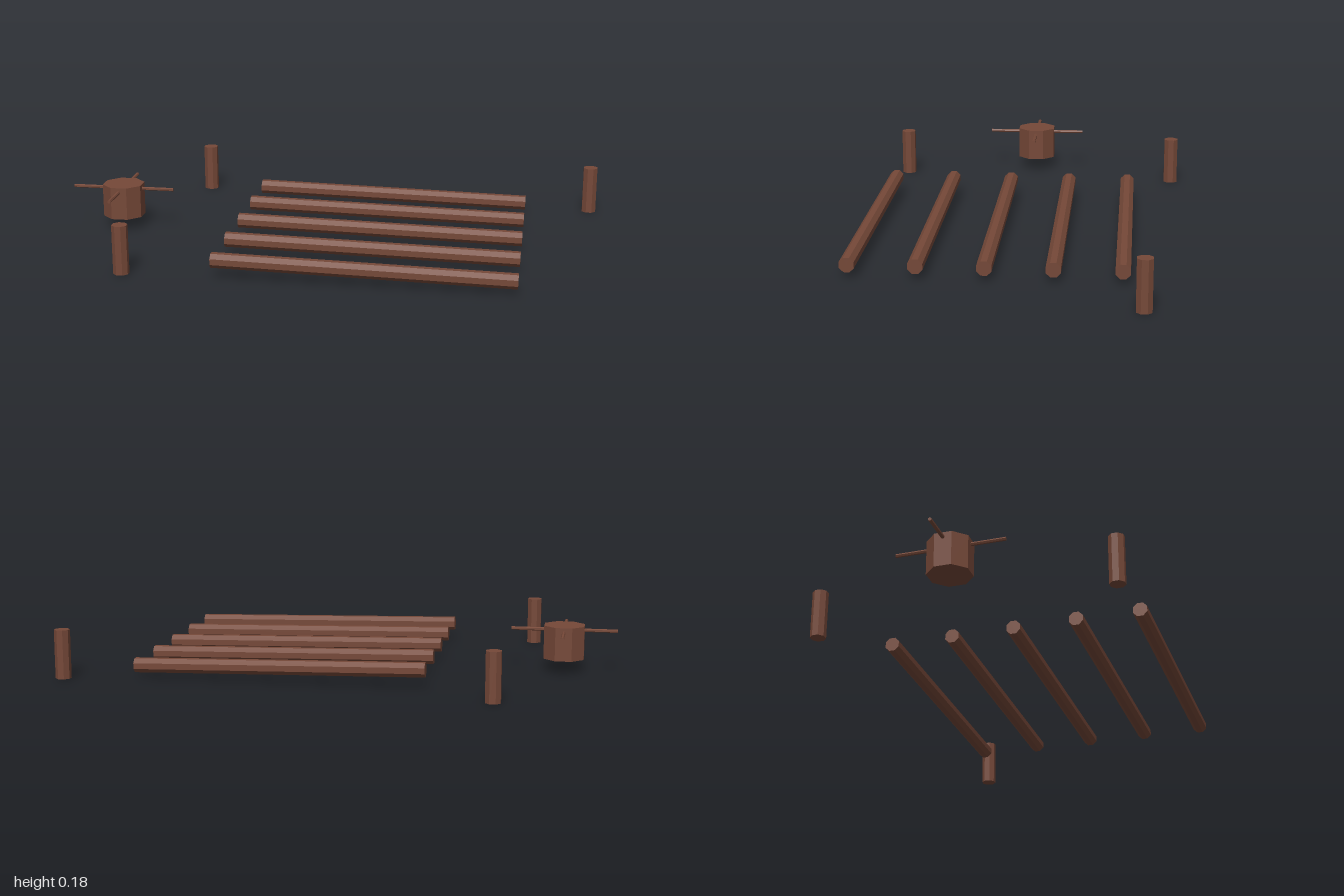
import * as THREE from 'three';

export function createModel() {
  const model = new THREE.Group();
  model.name = 'logRampAndCapstan';

  const wood = new THREE.MeshStandardMaterial({ color: 0x754838 });
  wood.name = 'brown wood';
  wood.flatShading = true;

  // Faceted pole standing on its local y axis, with a flat side facing front
  function pole(name, radius, length, sides = 8) {
    const geometry = new THREE.CylinderGeometry(radius, radius, length, sides);
    geometry.rotateY(Math.PI / sides);
    const mesh = new THREE.Mesh(geometry, wood);
    mesh.name = name;
    return mesh;
  }

  // Five parallel logs, sloping gently down towards +x
  const logs = new THREE.Group();
  logs.name = 'rollerLogs';
  for (let i = 0; i < 5; i++) {
    const log = pole('log', 0.0277, 1.062);
    log.rotation.z = Math.PI / 2 - 0.021;
    log.position.set(0.19, 0.055, 0.552 - i * 0.232);
    logs.add(log);
  }
  model.add(logs);

  // Mooring posts around the logs
  for (const [x, z] of [[-0.665, 0.552], [-0.594, -0.552], [0.971, -0.446]]) {
    const post = pole('post', 0.0287, 0.179);
    post.position.set(x, 0.0895, z);
    model.add(post);
  }

  // Capstan drum with two crossed bars
  const capstan = new THREE.Group();
  capstan.name = 'capstan';
  capstan.position.set(-0.806, 0, 0.018);
  const drum = pole('drum', 0.0796, 0.124);
  drum.position.y = 0.109;
  capstan.add(drum);
  for (const axis of ['x', 'z']) {
    const bar = pole('capstanBar', 0.0065, 0.39, 6);
    bar.rotation[axis] = Math.PI / 2;
    bar.position.y = 0.153;
    capstan.add(bar);
  }
  model.add(capstan);

  return model;
}
